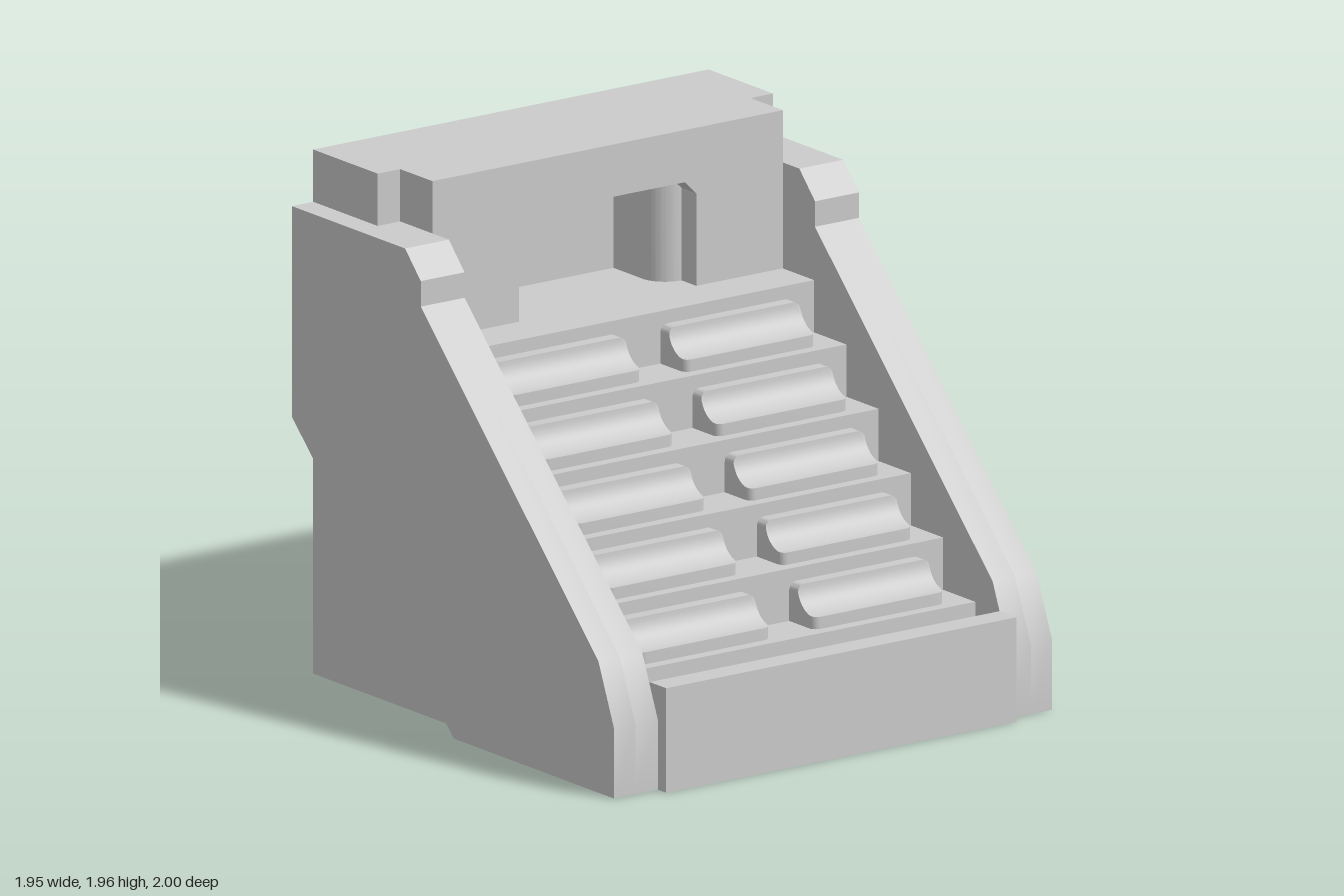
import * as THREE from 'three';
import { toCreasedNormals } from 'three/addons/utils/BufferGeometryUtils.js';

const material = new THREE.MeshStandardMaterial({ color: 0xcccccc });

function part(name, geometry, parent) {
  const mesh = new THREE.Mesh(toCreasedNormals(geometry, 0.5), material);
  mesh.name = name;
  parent.add(mesh);
  return mesh;
}

const toShape = (points) => new THREE.Shape(points.map(([a, b]) => new THREE.Vector2(a, b)));

// Side profile of [z, y] points, extruded from x0 to x1
function profileX(points, x0, x1) {
  return new THREE.ExtrudeGeometry(toShape(points), { depth: x1 - x0, bevelEnabled: false })
    .rotateY(-Math.PI / 2).translate(x1, 0, 0);
}

// Coved ledge lofted along x, with its outer corners rounded
function ledgeGeometry(width) {
  const depth = 0.15, height = 0.145, cove = 0.1, round = 0.03, n = 5, arcSteps = 10;
  const stations = [];
  for (let i = 0; i <= n; i++) {
    const a = (i / n) * Math.PI / 2;
    stations.push([-width / 2 + round * (1 - Math.cos(a)), round * (1 - Math.sin(a))]);
  }
  for (let i = n; i >= 0; i--) stations.push([-stations[i][0], stations[i][1]]);

  const sections = stations.map(([x, trim]) => {
    const pts = [new THREE.Vector3(x, 0, depth - trim)];
    const start = Math.asin(trim / cove);
    for (let j = 0; j <= arcSteps; j++) {
      const a = start + (j / arcSteps) * (Math.PI / 2 - 2 * start);
      pts.push(new THREE.Vector3(x, height - cove * Math.cos(a), depth - cove * Math.sin(a)));
    }
    pts.push(new THREE.Vector3(x, height - trim, 0));
    return pts;
  });

  const out = [];
  const tri = (...corners) => corners.forEach((p) => out.push(p.x, p.y, p.z));
  for (let s = 0; s + 1 < sections.length; s++) {
    const a = sections[s], b = sections[s + 1];
    for (let i = 0; i + 1 < a.length; i++) {
      tri(a[i], b[i], a[i + 1]);
      tri(b[i], b[i + 1], a[i + 1]);
    }
  }
  const first = sections[0], last = sections[sections.length - 1];
  const o0 = new THREE.Vector3(first[0].x, 0, 0), o1 = new THREE.Vector3(last[0].x, 0, 0);
  for (let i = 0; i + 1 < first.length; i++) {
    tri(o0, first[i], first[i + 1]);
    tri(o1, last[i + 1], last[i]);
  }
  const g = new THREE.BufferGeometry();
  g.setAttribute('position', new THREE.Float32BufferAttribute(out, 3));
  return g;
}

export function createModel() {
  const model = new THREE.Group();
  model.name = 'steppedRack';
  const step = 0.195, inner = 0.78;

  // Stepped body with a front lip and a gutter behind it
  const body = [[-1, 0], [1, 0], [1, 0.39], [0.9, 0.39], [0.9, 0.195], [0.75, 0.195]];
  for (let i = 0; i < 6; i++) {
    const z = 0.75 - i * step, y = 0.39 + i * step;
    body.push([z, y], [z - step, y]);
  }
  body.push([-1, 1.365]);
  // the last tread ends at the upper wall
  body.splice(body.length - 2, 1);
  part('steppedBody', profileX(body, -inner, inner), model);

  // Upper wall with a recess that narrows over rounded shoulders
  const wall = new THREE.Shape();
  wall.moveTo(-inner, 0.415);
  wall.lineTo(-0.395, 0.415);
  wall.lineTo(-0.395, 0.505);
  wall.absarc(-0.395, 0.605, 0.1, -Math.PI / 2, 0, false);
  wall.lineTo(-0.295, 0.78);
  wall.lineTo(0.295, 0.78);
  wall.lineTo(0.295, 0.605);
  wall.absarc(0.395, 0.605, 0.1, Math.PI, Math.PI * 1.5, false);
  wall.lineTo(0.395, 0.415);
  wall.lineTo(inner, 0.415);
  wall.lineTo(inner, 1);
  wall.lineTo(-inner, 1);
  part('upperWall', new THREE.ExtrudeGeometry(wall, { depth: 0.395, bevelEnabled: false, curveSegments: 10 })
    .rotateX(-Math.PI / 2).translate(0, 1.365, 0), model);

  // Cap, wider towards the back
  const cap = toShape([[-inner, 0.415], [inner, 0.415], [inner, 0.61], [0.88, 0.61],
    [0.88, 1], [-0.88, 1], [-0.88, 0.61], [-inner, 0.61]]);
  part('cap', new THREE.ExtrudeGeometry(cap, { depth: 0.195, bevelEnabled: false })
    .rotateX(-Math.PI / 2).translate(0, 1.76, 0), model);

  // Side panels: full inner layer, outer layer with the lower back corner cut off
  const edge = [[0.95, 0], [0.95, 0.26], [0.855, 0.49], [-0.22, 1.565],
    [-0.22, 1.66], [-0.315, 1.76], [-1, 1.76]];
  for (const side of [1, -1]) {
    const name = side > 0 ? 'left' : 'right';
    const layer = (pts, a, b) => profileX(pts, Math.min(side * a, side * b), Math.max(side * a, side * b));
    part(name + 'InnerPanel', layer([...edge, [-1, 0]], inner, 0.88), model);
    part(name + 'OuterPanel', layer([...edge, [-1, 0.975], [-0.02, 0]], 0.88, 0.975), model);

    // Chamfer in the top corner of the recess
    const corner = toShape([[side * 0.395, 1.76], [side * 0.395, 1.71], [side * 0.345, 1.76]]);
    part(name + 'RecessChamfer', new THREE.ExtrudeGeometry(corner, { depth: 0.185, bevelEnabled: false })
      .translate(0, 0, -0.6), model);
  }

  // Two columns of coved ledges, one pair on each tread
  const ledge = ledgeGeometry(0.585);
  for (let i = 0; i < 5; i++) {
    for (const side of [1, -1]) {
      part(side > 0 ? 'leftLedge' : 'rightLedge', ledge, model)
        .position.set(side * 0.3875, 0.39 + i * step, 0.555 - i * step);
    }
  }
  return model;
}
